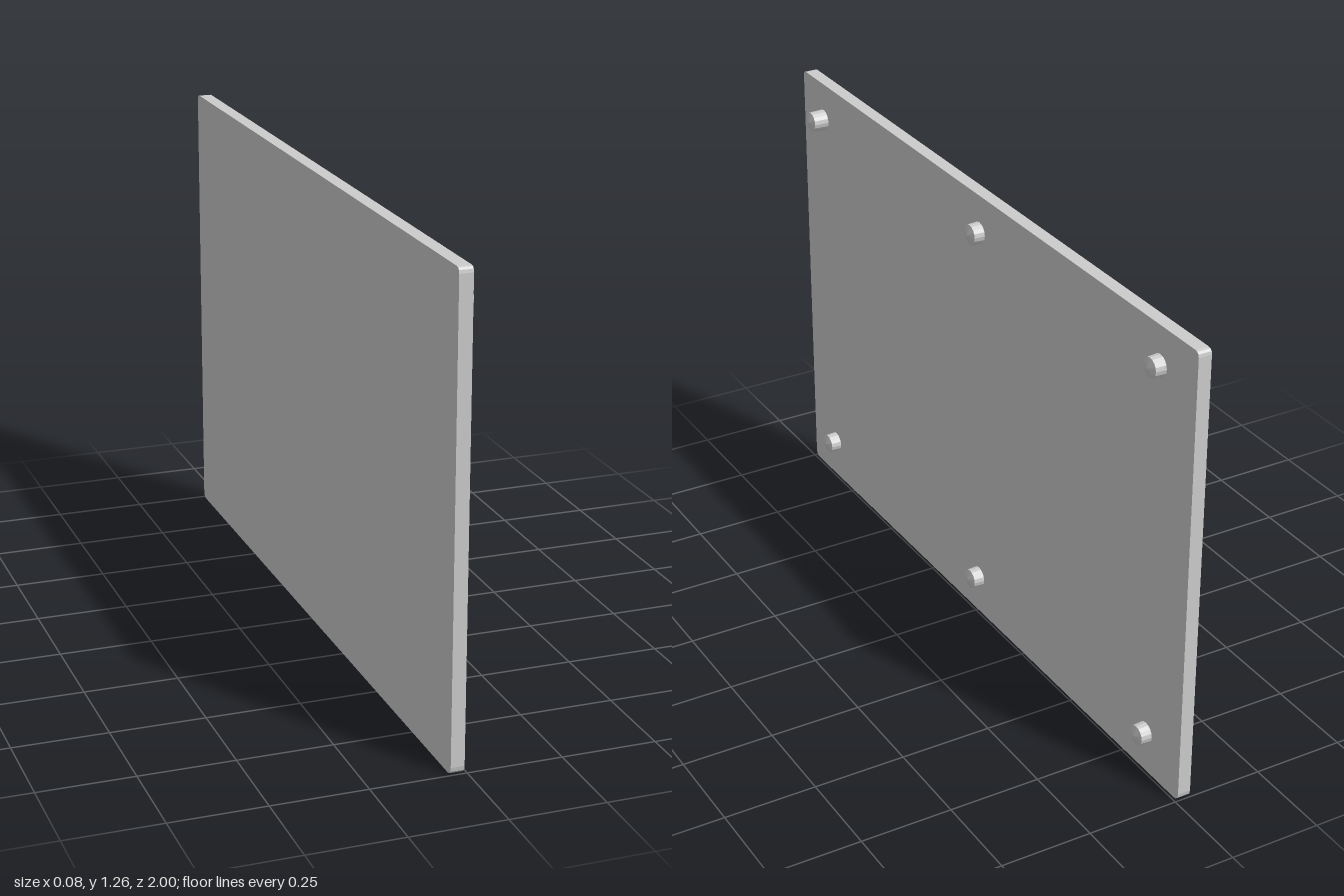
import * as THREE from 'three';

const BACK = -0.043, FACE = -0.007, HEIGHT = 1.26;

// Board outline in (z, y), with small clipped corners
function boardOutline(top, bottom) {
  const s = new THREE.Shape();
  s.moveTo(-1 + bottom, 0);
  s.lineTo(1 - bottom, 0);
  s.quadraticCurveTo(1, 0, 1, bottom);
  s.lineTo(1, HEIGHT - top);
  s.quadraticCurveTo(1, HEIGHT, 1 - top, HEIGHT);
  s.lineTo(-1 + top, HEIGHT);
  s.quadraticCurveTo(-1, HEIGHT, -1, HEIGHT - top);
  s.lineTo(-1, bottom);
  s.quadraticCurveTo(-1, 0, -1 + bottom, 0);
  return s;
}

// Slightly tapered peg with a shallow pointed cap, along +x
function pegGeometry(tip) {
  const profile = [
    [0, FACE - 0.005], [0.029, FACE - 0.005], [0.027, tip - 0.008], [0, tip],
  ].map(([r, h]) => new THREE.Vector2(r, h));
  return new THREE.LatheGeometry(profile, 16).rotateZ(-Math.PI / 2);
}

export function createModel() {
  const model = new THREE.Group();
  const material = new THREE.MeshStandardMaterial({ color: 0xcccccc, flatShading: true });

  // Upright board
  const boardGeometry = new THREE.ExtrudeGeometry(boardOutline(0.015, 0.02), {
    depth: FACE - BACK, bevelEnabled: false, curveSegments: 3,
  });
  boardGeometry.rotateY(-Math.PI / 2).translate(FACE, 0, 0);
  const board = new THREE.Mesh(boardGeometry, material);
  board.name = 'board';
  model.add(board);

  // Pegs on the +x face: y, z, tip
  const pegs = new THREE.Group();
  pegs.name = 'pegs';
  [
    [1.153, 0.88, 0.042], [1.157, -0.005, 0.03], [1.158, -0.847, 0.03],
    [0.115, 0.86, 0.03], [0.112, -0.005, 0.03], [0.115, -0.847, 0.03],
  ].forEach(([y, z, tip]) => {
    const peg = new THREE.Mesh(pegGeometry(tip), material);
    peg.name = 'peg';
    peg.position.set(0, y, z);
    pegs.add(peg);
  });
  model.add(pegs);
  return model;
}
